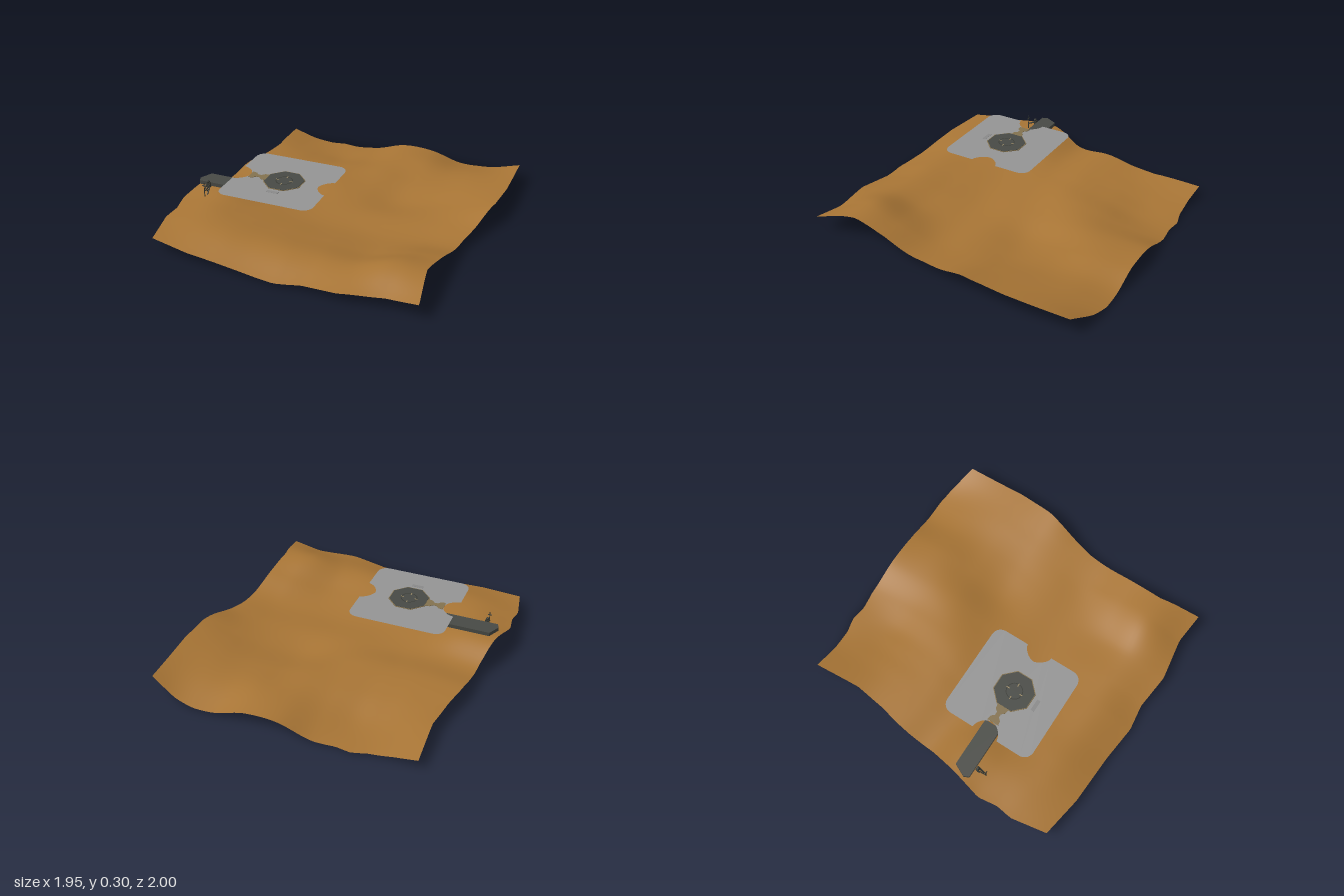
import * as THREE from 'three';

const mat = (name, color, side = THREE.FrontSide) => {
  const m = new THREE.MeshStandardMaterial({ color, side });
  m.name = name;
  return m;
};

// Piecewise linear lookup through [key, value] pairs
function lookup(points, t) {
  if (t <= points[0][0]) return points[0][1];
  for (let i = 1; i < points.length; i++) {
    const [a, va] = points[i - 1], [b, vb] = points[i];
    if (t <= b) return va + (vb - va) * (t - a) / (b - a);
  }
  return points[points.length - 1][1];
}

// Smooth curve through evenly spaced values, running straight on at the ends
function smooth(values, t) {
  const n = values.length - 1, s = t * n, i = Math.min(Math.floor(s), n - 1), f = s - i;
  const p1 = values[i], p2 = values[i + 1];
  const p0 = i > 0 ? values[i - 1] : 2 * p1 - p2;
  const p3 = i + 2 <= n ? values[i + 2] : 2 * p2 - p1;
  return p1 + 0.5 * f * (p2 - p0 + f * (2 * p0 - 5 * p1 + 4 * p2 - p3 + f * (3 * (p1 - p2) + p3 - p0)));
}

// Heights, back row to front row, each from -x to +x
const HEIGHTS = [
  [.067, .018, .004, .015, .08, .075, .015, .03, .114],
  [.08, .04, .015, .04, .085, .09, .06, .075, .12],
  [.08, .075, .065, .078, .085, .055, .055, .09, .13],
  [.09, .09, .09, .088, .055, .014, .03, .075, .13],
  [.07, .07, .065, .055, .045, .033, .036, .05, .07],
  [.16, .145, .09, .055, .035, .025, .025, .035, .06],
  [.125, .135, .108, .085, .07, .058, .055, .095, .12],
  [.10, .115, .115, .10, .097, .096, .105, .155, .155],
  [.08, .065, .05, .03, .024, .045, .066, .075, .10],
];
const LEFT = [[-.98, -.81], [-.66, -.79], [-.45, -.82], [-.3, -.855], [-.2, -.87], [0, -.885], [.2, -.93], [.41, -.98], [.54, -.96], [.65, -.975], [.89, -.93]];
const RIGHT = [[-.92, .965], [-.5, .975], [-.27, .96], [.13, .865], [.45, .83], [.7, .805], [.98, .85]];
const BACK = [[-.81, -.985], [-.65, -.97], [-.5, -.975], [-.4, -1], [-.3, -.985], [-.17, -1], [.3, -.99], [.65, -.995], [.78, -.975], [.965, -.92]];
const FRONT = [[-.93, .89], [-.65, .94], [-.3, .96], [-.05, .99], [.12, .97], [.36, 1], [.64, .96], [.85, .985]];

function terrainGeometry() {
  const g = new THREE.PlaneGeometry(2, 2, 64, 64).rotateX(-Math.PI / 2);
  const p = g.attributes.position;
  for (let i = 0; i < p.count; i++) {
    const u = (p.getX(i) + 1) / 2, v = (p.getZ(i) + 1) / 2;
    let x = p.getX(i), z = p.getZ(i);
    // settle each point inside the uneven outline
    for (let k = 0; k < 4; k++) {
      x = THREE.MathUtils.lerp(lookup(LEFT, z), lookup(RIGHT, z), u);
      z = THREE.MathUtils.lerp(lookup(BACK, x), lookup(FRONT, x), v);
    }
    const y = smooth(HEIGHTS.map(row => smooth(row, u)), v);
    p.setXYZ(i, x, Math.max(0, y), z);
  }
  g.computeVertexNormals();
  return g;
}

// Flat outlines are drawn in (x, -z) and laid down
const flat = g => g.rotateX(-Math.PI / 2);
const polygon = points => new THREE.Shape(points.map(p => new THREE.Vector2(...p)));

function padShape() {
  const s = new THREE.Shape(), w = .325, h = .322, r = .06;
  s.moveTo(-w + r, -h);
  s.lineTo(w - r, -h);
  s.quadraticCurveTo(w - .008, -h + .008, w, -h + r);
  s.lineTo(w, -.09);
  s.bezierCurveTo(w - .04, -.085, w - .08, -.03, w - .08, 0);
  s.bezierCurveTo(w - .08, .03, w - .04, .085, w, .09);
  s.lineTo(w, h - r);
  s.quadraticCurveTo(w - .008, h - .008, w - r, h);
  s.lineTo(-w + r, h);
  s.quadraticCurveTo(-w + .008, h - .008, -w, h - r);
  s.lineTo(-w, .09);
  s.bezierCurveTo(-w + .04, .085, -w + .09, .05, -w + .09, 0);
  s.bezierCurveTo(-w + .09, -.05, -w + .04, -.085, -w, -.09);
  s.lineTo(-w, -h + r);
  s.quadraticCurveTo(-w + .008, -h + .008, -w + r, -h);
  return s;
}

export function createModel() {
  const root = new THREE.Group();
  const sand = mat('sand', 0xa87535, THREE.DoubleSide);
  const grey = mat('pad grey', 0x959595, THREE.DoubleSide);
  const shade = mat('step grey', 0x8a8a8a);
  const dark = mat('dark metal', 0x484a45);
  const black = mat('black metal', 0x383a34);
  const tan = mat('tan trim', 0x84724f);
  const pale = mat('pale marks', 0xa08e68);

  const add = (name, geometry, material, x = 0, y = 0, z = 0, parent = root) => {
    const m = new THREE.Mesh(geometry, material);
    m.name = name;
    m.position.set(x, y, z);
    parent.add(m);
    return m;
  };

  add('terrain', terrainGeometry(), sand);

  // Thin pad floating above the ground, with a small step in front of the hatch
  add('pad', flat(new THREE.ShapeGeometry(padShape(), 10)), grey, -.325, .296, .246);
  add('padStep', new THREE.BoxGeometry(.08, .001, .025), shade, -.322, .297, .418);

  // Octagonal hatch with a trim rim, ring and cross marks
  const hatch = new THREE.Group();
  hatch.name = 'hatch';
  hatch.position.set(-.315, .298, .255);
  root.add(hatch);
  const octagon = (r, h) => new THREE.CylinderGeometry(r, r, h, 8).rotateY(Math.PI / 8);
  add('hatchRim', octagon(.138, .003), tan, 0, 0, 0, hatch);
  add('hatchPlate', octagon(.132, .005), dark, 0, .0005, 0, hatch);
  add('hatchRing', flat(new THREE.RingGeometry(.05, .056, 32)), black, 0, .0036, 0, hatch);
  for (let i = 0; i < 4; i++) {
    const a = i * Math.PI / 2;
    const mark = add('hatchMark', new THREE.BoxGeometry(.022, .001, .006), pale, Math.cos(a) * .048, .0042, Math.sin(a) * .048, hatch);
    mark.rotation.y = -a;
  }

  // Pinched link between the hatch and the beam
  const link = polygon([[-.06, -.04], [-.03, -.035], [-.012, -.015], [.012, -.015], [.03, -.035], [.06, -.04],
    [.06, .04], [.03, .035], [.012, .015], [-.012, .015], [-.03, .035], [-.06, .04]]);
  add('link', flat(new THREE.ExtrudeGeometry(link, { depth: .003, bevelEnabled: false })), tan, -.5, .296, .25);

  // Beam with a pointed outer end
  const beam = polygon([[-.55, -.305], [-.55, -.187], [-.89, -.187], [-.93, -.27], [-.915, -.305]]);
  add('beam', flat(new THREE.ExtrudeGeometry(beam, { depth: .026, bevelEnabled: false })), dark, 0, .185, 0);

  // Small standing figure holding a pole
  const figure = new THREE.Group();
  figure.name = 'figure';
  figure.position.set(-.84, 0, .32);
  root.add(figure);
  const limb = (name, a, b, r) => {
    const from = new THREE.Vector3(...a), to = new THREE.Vector3(...b);
    const m = add(name, new THREE.CylinderGeometry(r, r, from.distanceTo(to), 6), black, 0, 0, 0, figure);
    m.position.copy(from).add(to).multiplyScalar(.5);
    m.quaternion.setFromUnitVectors(new THREE.Vector3(0, 1, 0), to.sub(from).normalize());
  };
  add('torso', new THREE.BoxGeometry(.026, .034, .016), black, 0, .2, 0, figure);
  add('head', new THREE.SphereGeometry(.01, 10, 8), black, 0, .224, .003, figure);
  for (const s of [-1, 1]) {
    limb('thigh', [s * .006, .185, 0], [s * .008, .17, .018], .005);
    limb('shin', [s * .008, .17, .018], [s * .008, .145, .02 + s * .02], .004);
    limb('arm', [s * .012, .21, 0], [s * .004, .18, .055], .0035);
  }
  limb('pole', [0, .14, .06], [0, .24, .06], .003);
  limb('crossbar', [-.014, .22, .06], [.014, .22, .06], .003);

  return root;
}
